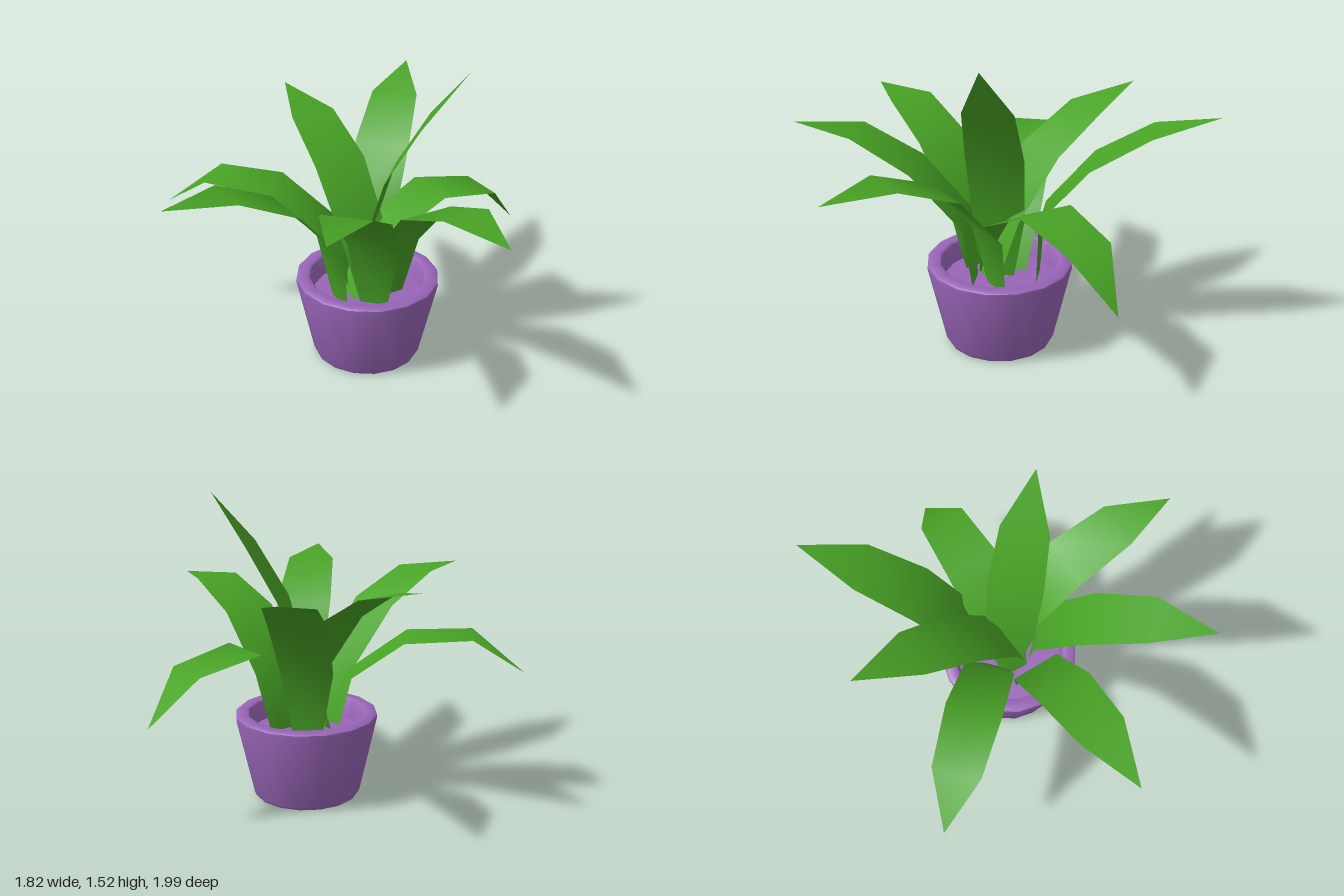
import * as THREE from 'three';
import { toCreasedNormals } from 'three/addons/utils/BufferGeometryUtils.js';

// Rows of a leaf from tip to root: half widths, and lengths of the segments between them
const HALF_WIDTHS = [0, 0.119, 0.139, 0.127, 0.065];
const LENGTHS = [0.312, 0.322, 0.36, 0.355];

// tip: position, heading: [x, z] direction outwards, pitches: degrees of each segment from tip to root
const LEAVES = [
  { name: 'backLeaf', tip: [0.125, 1.21, -1.0], heading: [0, -1], pitches: [15, 31.5, 50, 87] },
  { name: 'rightLeaf', tip: [-0.91, 0.68, -0.037], heading: [-1, 0], pitches: [-36, 3.6, 36, 68] },
  { name: 'tallLeftLeaf', tip: [0.61, 1.52, 0.015], heading: [1, 0], pitches: [53, 60, 74, 86] },
  { name: 'backRightLeaf', tip: [-0.44, 1.18, -0.57], heading: [-1, -1], pitches: [13, 31, 52, 75] },
  { name: 'backLeftLeaf', tip: [0.79, 0.53, -0.61], heading: [0.72, -0.69], pitches: [-48, -10, 28, 66] },
  { name: 'frontRightLeaf', tip: [-0.57, 1.06, 0.79], heading: [-0.69, 0.72], pitches: [0, 25, 49, 80] },
  { name: 'frontLeftLeaf', tip: [0.905, 1.0, 0.64], heading: [1, 1], pitches: [-4.6, 22, 50, 80] },
  { name: 'frontLeaf', tip: [0.217, 1.105, 0.99], heading: [0, 1], pitches: [4.5, 29, 48, 84] },
];

// Flat strip that follows the bend from the tip down to the root
function leafGeometry({ tip, heading, pitches }) {
  const dir = new THREE.Vector2(...heading).normalize();
  const centre = new THREE.Vector3(...tip);
  const positions = [centre.x, centre.y, centre.z];
  const index = [0, 2, 1];
  for (let i = 0; i < 4; i++) {
    const pitch = THREE.MathUtils.degToRad(pitches[i]);
    const run = LENGTHS[i] * Math.cos(pitch);
    centre.x -= dir.x * run;
    centre.z -= dir.y * run;
    centre.y -= LENGTHS[i] * Math.sin(pitch);
    const w = HALF_WIDTHS[i + 1];
    for (const s of [-1, 1]) {
      positions.push(centre.x - dir.y * w * s, centre.y, centre.z + dir.x * w * s);
    }
    if (i > 0) {
      const a = 2 * i - 1; // left, right of the row above; a + 2, a + 3 below
      index.push(a, a + 1, a + 2, a + 1, a + 3, a + 2);
    }
  }
  // Turn the faces so that the upper side is the front
  for (let i = 0; i < index.length; i += 3) {
    const [p, q, r] = [0, 1, 2].map((k) => new THREE.Vector3().fromArray(positions, index[i + k] * 3));
    const normal = q.sub(p).cross(r.sub(p));
    if (normal.y < 0) [index[i + 1], index[i + 2]] = [index[i + 2], index[i + 1]];
  }
  const geometry = new THREE.BufferGeometry();
  geometry.setAttribute('position', new THREE.Float32BufferAttribute(positions, 3));
  geometry.setIndex(index);
  geometry.computeVertexNormals();
  return geometry;
}

export function createModel() {
  const group = new THREE.Group();
  group.name = 'pottedPlant';

  const leafGreen = new THREE.MeshStandardMaterial({ color: 0x48a325, side: THREE.DoubleSide });
  leafGreen.name = 'leafGreen';
  const potPurple = new THREE.MeshStandardMaterial({ color: 0x9966b8 });
  potPurple.name = 'potPurple';

  // Tapered pot with soft edges, a thick rim and a shallow inside
  const profile = [
    [0, 0], [0.25, 0], [0.262, 0.005], [0.27, 0.02],
    [0.357, 0.412], [0.356, 0.424], [0.346, 0.432],
    [0.297, 0.432], [0.289, 0.426], [0.272, 0.33], [0, 0.33],
  ].map(([r, y]) => new THREE.Vector2(r, y));
  const pot = new THREE.Mesh(toCreasedNormals(new THREE.LatheGeometry(profile, 16), 0.8), potPurple);
  pot.name = 'pot';
  pot.position.set(0.157, 0, 0.012);
  group.add(pot);

  // Leaves
  for (const spec of LEAVES) {
    const leaf = new THREE.Mesh(leafGeometry(spec), leafGreen);
    leaf.name = spec.name;
    group.add(leaf);
  }
  return group;
}
